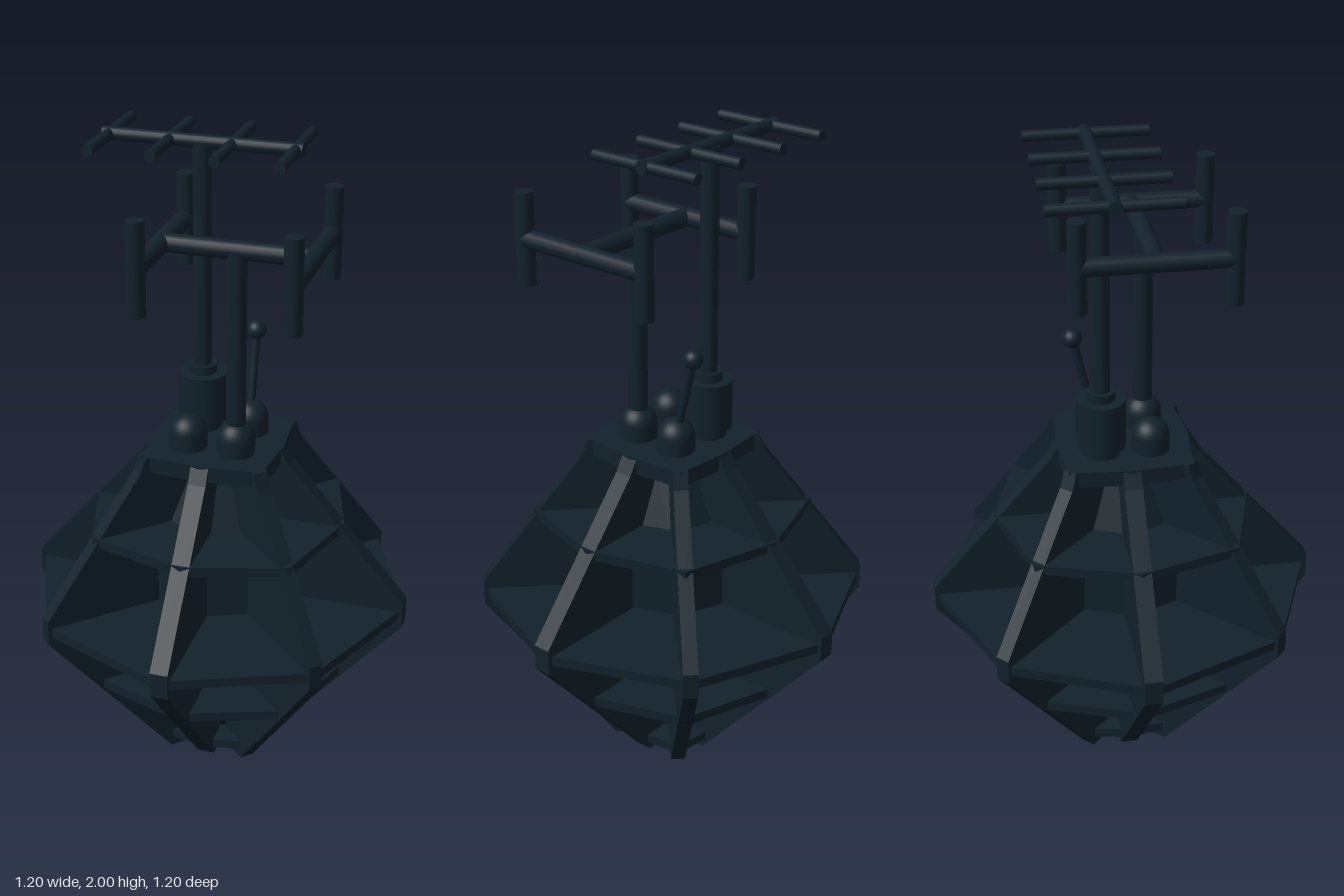
import * as THREE from 'three';

const material = new THREE.MeshStandardMaterial({ color: 0x12212b });
const flat = new THREE.MeshStandardMaterial({ color: 0x12212b, flatShading: true });

export function createModel() {
  const model = new THREE.Group();
  model.name = 'radarBuoy';

  function add(name, geometry, x = 0, y = 0, z = 0, mat = material, parent = model) {
    const mesh = new THREE.Mesh(geometry, mat);
    mesh.name = name;
    mesh.position.set(x, y, z);
    parent.add(mesh);
    return mesh;
  }

  // Round bar between two points
  function bar(name, a, b, radius, parent = model) {
    const from = new THREE.Vector3(...a), to = new THREE.Vector3(...b);
    const dir = to.clone().sub(from);
    const mid = from.clone().add(to).multiplyScalar(0.5);
    const mesh = add(name, new THREE.CylinderGeometry(radius, radius, dir.length(), 16), mid.x, mid.y, mid.z, material, parent);
    mesh.quaternion.setFromUnitVectors(new THREE.Vector3(0, 1, 0), dir.normalize());
  }

  // Eight-cornered slab whose corners lie on the upright fins
  function plate(name, y, thickness, axisRadius, diagonalRadius) {
    const points = [];
    for (let i = 0; i < 8; i++) {
      const r = i % 2 ? diagonalRadius : axisRadius, a = i * Math.PI / 4;
      points.push(new THREE.Vector2(r * Math.cos(a), r * Math.sin(a)));
    }
    const geometry = new THREE.ExtrudeGeometry(new THREE.Shape(points), { depth: thickness, bevelEnabled: false });
    geometry.rotateX(-Math.PI / 2);
    add(name, geometry, 0, y, 0, flat);
  }

  // Upright fins radiating from the centre
  const axisProfile = [[0, 0], [0.15, 0], [0.6, 0.52], [0.6, 0.6], [0.23, 1.03], [0.2, 1.08], [0, 1.08]];
  const diagonalProfile = [[0, 0], [0.19, 0], [0.6, 0.52], [0.6, 0.6], [0.28, 1.03], [0.26, 1.08], [0, 1.08]];
  const fins = new THREE.Group();
  fins.name = 'fins';
  model.add(fins);
  for (let i = 0; i < 8; i++) {
    const width = i % 2 ? 0.045 : 0.055;
    const shape = new THREE.Shape((i % 2 ? diagonalProfile : axisProfile).map(p => new THREE.Vector2(...p)));
    const geometry = new THREE.ExtrudeGeometry(shape, { depth: width, bevelEnabled: false });
    geometry.translate(0, 0, -width / 2);
    add('fin', geometry, 0, 0, 0, flat, fins).rotation.y = i * Math.PI / 4;
  }

  // Horizontal reflector plates, cap and foot
  plate('lowerPlate', 0.305, 0.03, 0.415, 0.435);
  plate('middlePlate', 0.545, 0.03, 0.598, 0.598);
  plate('upperPlate', 0.815, 0.03, 0.4, 0.435);
  plate('topCap', 1.03, 0.05, 0.205, 0.265);
  plate('foot', 0.03, 0.03, 0.165, 0.2);

  // Faceted inner core
  const coreProfile = [[0, 0.04], [0.08, 0.04], [0.235, 0.36], [0.235, 0.74], [0.1, 1.04], [0, 1.04]];
  add('core', new THREE.LatheGeometry(coreProfile.map(p => new THREE.Vector2(...p)), 8), 0, 0, 0, flat);

  // Small pads around the foot
  for (const sx of [-1, 1]) for (const sz of [-1, 1])
    add('footPad', new THREE.BoxGeometry(0.085, 0.05, 0.085), sx * 0.085, 0.035, sz * 0.085, flat);

  // Domed sockets on the cap
  const dome = [new THREE.Vector2(0.058, 0)];
  for (let i = 0; i <= 8; i++) {
    const a = i * Math.PI / 16;
    dome.push(new THREE.Vector2(0.058 * Math.cos(a), 0.045 + 0.058 * Math.sin(a)));
  }
  for (const [x, z] of [[0.075, 0.075], [-0.075, 0.075], [0.075, -0.075]])
    add('socketDome', new THREE.LatheGeometry(dome, 24), x, 1.08, z);

  // Tall mast with stepped base and comb antenna
  const tall = new THREE.Group();
  tall.name = 'tallMast';
  model.add(tall);
  const mx = -0.075, mz = -0.075;
  add('baseRing', new THREE.CylinderGeometry(0.058, 0.058, 0.04, 24), mx, 1.1, mz, material, tall);
  add('baseDrum', new THREE.CylinderGeometry(0.075, 0.075, 0.155, 24), mx, 1.185, mz, material, tall);
  add('baseCollar', new THREE.CylinderGeometry(0.043, 0.043, 0.03, 24), mx, 1.275, mz, material, tall);
  bar('mast', [mx, 1.26, mz], [mx, 1.98, mz], 0.028, tall);
  bar('topBeam', [-0.375, 1.98, mz], [0.225, 1.98, mz], 0.02, tall);
  for (const x of [-0.355, -0.17, 0.017, 0.205])
    bar('combRod', [x, 1.98, -0.26], [x, 1.98, 0.11], 0.017, tall);

  // Short mast with H-shaped arms and four upright dipoles
  const short = new THREE.Group();
  short.name = 'shortMast';
  model.add(short);
  bar('mast', [0.075, 1.12, 0.075], [0.075, 1.72, 0.075], 0.03, short);
  bar('crossBeam', [-0.15, 1.72, 0.075], [0.3, 1.72, 0.075], 0.028, short);
  for (const x of [-0.15, 0.3]) {
    bar('arm', [x, 1.72, -0.15], [x, 1.72, 0.3], 0.028, short);
    for (const z of [-0.15, 0.3])
      bar('dipole', [x, 1.58, z], [x, 1.86, z], 0.028, short);
  }

  // Tilted whip with ball tip
  bar('whip', [0.075, 1.14, -0.08], [0.075, 1.39, -0.14], 0.013);
  add('whipBall', new THREE.SphereGeometry(0.03, 20, 14), 0.075, 1.39, -0.14);

  return model;
}
